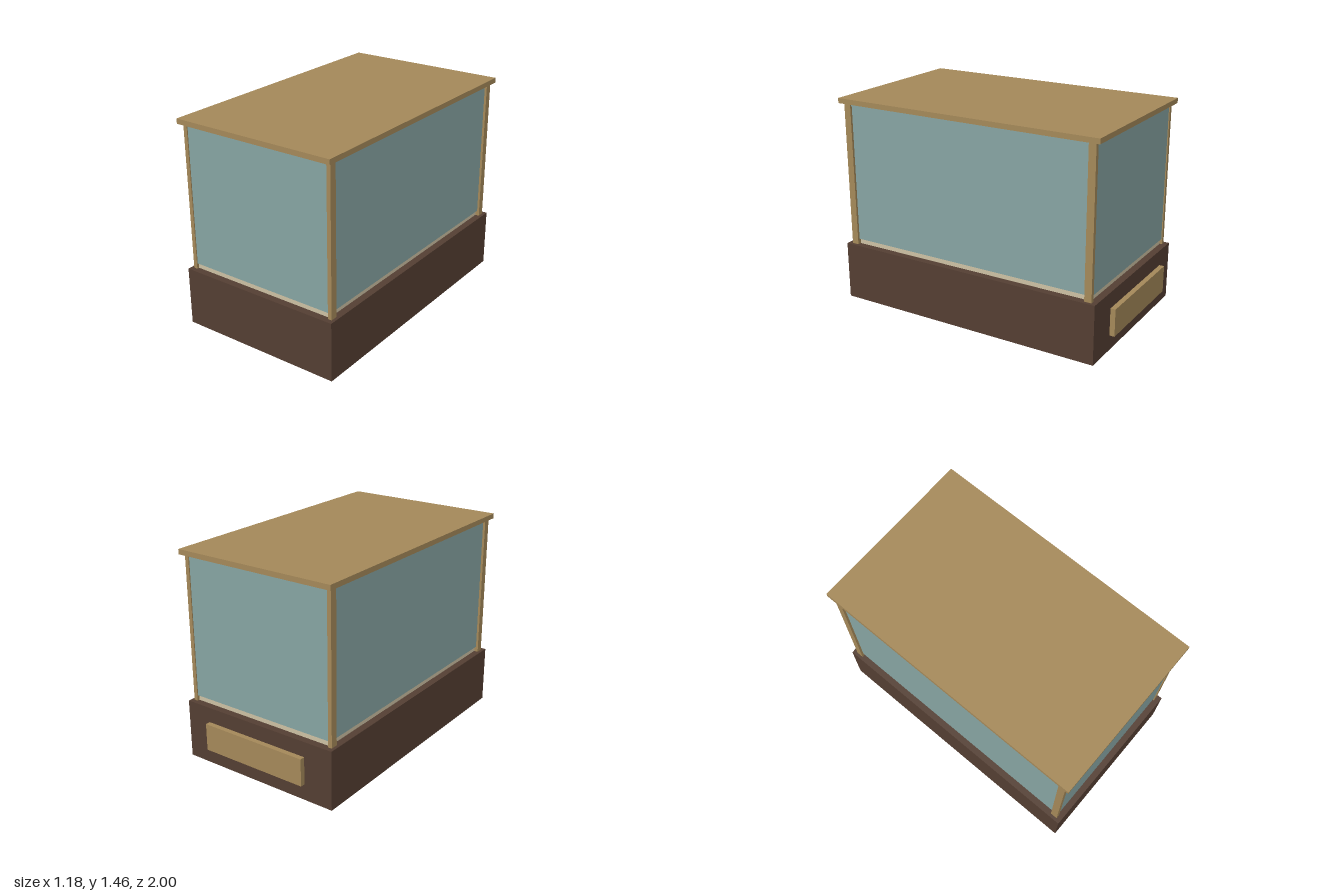
import * as THREE from 'three';

const mat = (color) => new THREE.MeshStandardMaterial({ color });

export function createModel() {
  const group = new THREE.Group();
  group.name = 'displayCase';
  const wood = mat(0xa68a5a);
  const darkWood = mat(0x553f33);
  const glass = mat(0x88a6a4);
  const sand = mat(0xcfc3a5);
  const CZ = 0.025; // the case sits slightly forward of the back plaque

  // box given by its size, bottom height and centre
  const box = (name, material, w, h, d, bottom, x = 0, z = CZ) => {
    const mesh = new THREE.Mesh(new THREE.BoxGeometry(w, h, d), material);
    mesh.name = name;
    mesh.position.set(x, bottom + h / 2, z);
    group.add(mesh);
  };

  // plinth and roof share one footprint
  box('base', darkWood, 1.185, 0.41, 1.95, 0);
  box('roof', wood, 1.185, 0.035, 1.95, 1.425);

  // bed, glazed body and thin top pane
  box('bed', sand, 1.085, 0.04, 1.85, 0.41);
  box('glassBody', glass, 1.11, 0.96, 1.87, 0.447);
  box('topPane', glass, 1.12, 0.018, 1.876, 1.407);

  // corner posts
  for (const sx of [-1, 1]) {
    for (const sz of [-1, 1]) {
      const name = (sz > 0 ? 'front' : 'back') + (sx > 0 ? 'Left' : 'Right') + 'Post';
      box(name, wood, 0.028, 1.015, 0.05, 0.41, sx * 0.557, CZ + sz * 0.917);
    }
  }

  // plaque standing just off the back of the base
  box('backPlaque', wood, 0.79, 0.19, 0.035, 0.125, 0, -0.9825);

  return group;
}
